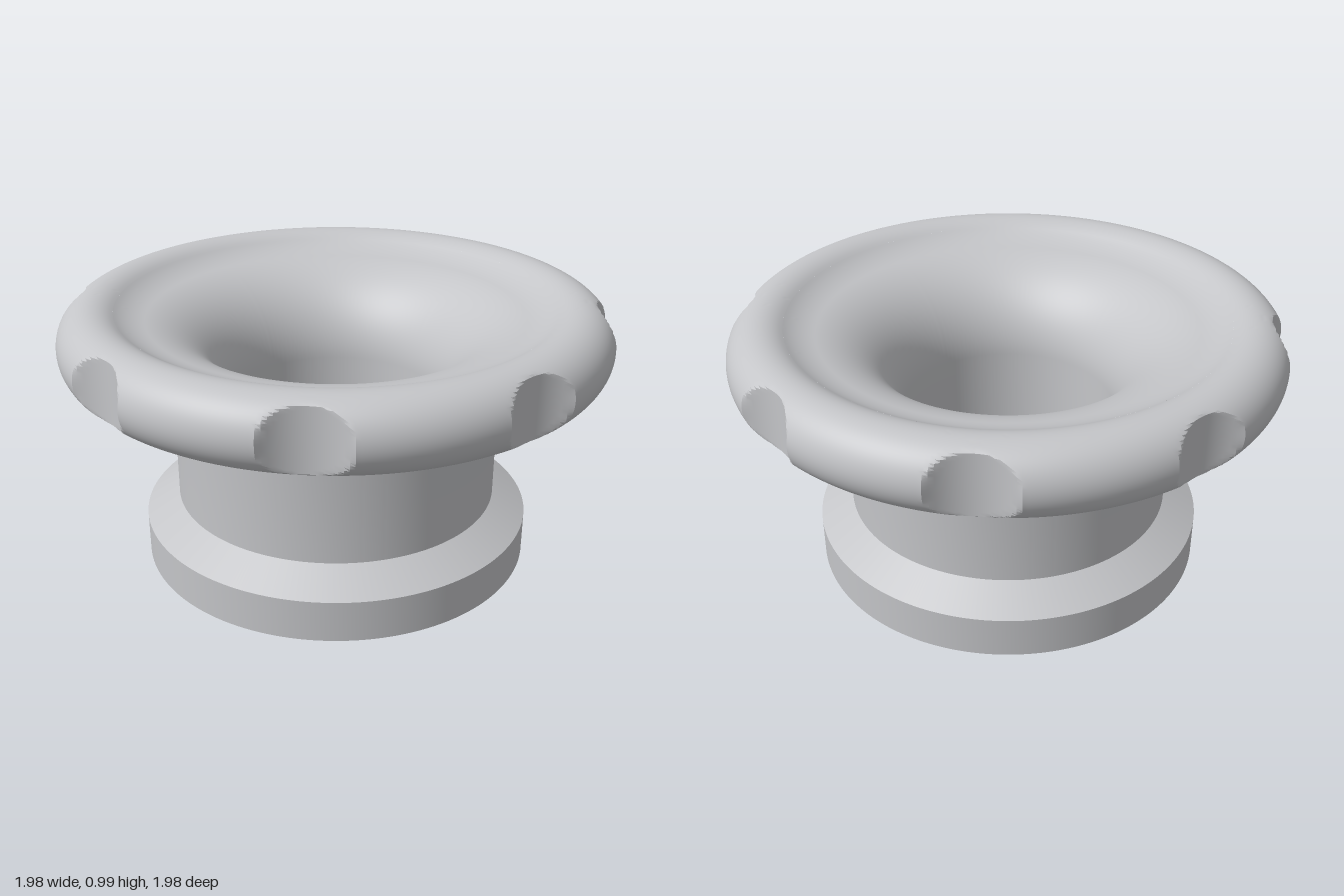
import * as THREE from 'three';
import { toCreasedNormals } from 'three/addons/utils/BufferGeometryUtils.js';

const SEGMENTS = 384;
const V = (x, y) => new THREE.Vector2(x, y);

// Points along an elliptical arc, angles in degrees
function arc(cx, cy, rx, ry, from, to, steps) {
  return Array.from({ length: steps + 1 }, (_, i) => {
    const a = THREE.MathUtils.degToRad(from + (to - from) * i / steps);
    return V(cx + rx * Math.cos(a), cy + ry * Math.sin(a));
  });
}

// Cuts eight round finger notches into everything outside the notch circles
function cutNotches(geometry) {
  const distance = 1.15, radius = 0.217, step = Math.PI / 4;
  const pos = geometry.attributes.position;
  for (let i = 0; i < pos.count; i++) {
    const x = pos.getX(i), z = pos.getZ(i);
    const angle = Math.atan2(z, x);
    const off = angle - Math.round(angle / step) * step;
    const inside = radius ** 2 - (distance * Math.sin(off)) ** 2;
    if (inside <= 0) continue;
    const limit = distance * Math.cos(off) - Math.sqrt(inside);
    const r = Math.hypot(x, z);
    if (r > limit) pos.setXYZ(i, x * limit / r, pos.getY(i), z * limit / r);
  }
  return geometry;
}

export function createModel() {
  const group = new THREE.Group();
  const grey = new THREE.MeshStandardMaterial({ color: 0xc4c5c8 });
  grey.name = 'light grey';

  function turned(name, points, edit = g => g) {
    const geometry = edit(new THREE.LatheGeometry(points, SEGMENTS));
    const mesh = new THREE.Mesh(toCreasedNormals(geometry, 0.4), grey);
    mesh.name = name;
    group.add(mesh);
  }

  // Foot with bevelled shoulder
  turned('foot', [V(0.457, 0), V(0.73, 0), V(0.73, 0.155), V(0.605, 0.23)]);

  // Straight neck, flaring under the rim
  turned('neck', [V(0.605, 0.23), ...arc(0.7, 0.745, 0.095, 0.095, 180, 90, 10), V(0.741, 0.845)]);

  // Rounded rim with finger notches
  turned('rim', arc(0.87, 0.86, 0.13, 0.13, 173, 485, 56), cutNotches);

  // Bell-shaped funnel running down into the throat
  const blend = new THREE.QuadraticBezierCurve(V(0.7954, 0.9665), V(0.75, 0.935), V(0.688, 0.923));
  turned('funnel', [
    ...blend.getPoints(10),
    ...arc(0.76, 0.58, 0.365, 0.35, 103, 180, 24),
    V(0.395, 0.245),
  ]);

  // Wider bore in the foot, with a step up to the throat
  turned('bore', [V(0.395, 0.245), V(0.457, 0.245), V(0.457, 0)]);

  return group;
}
